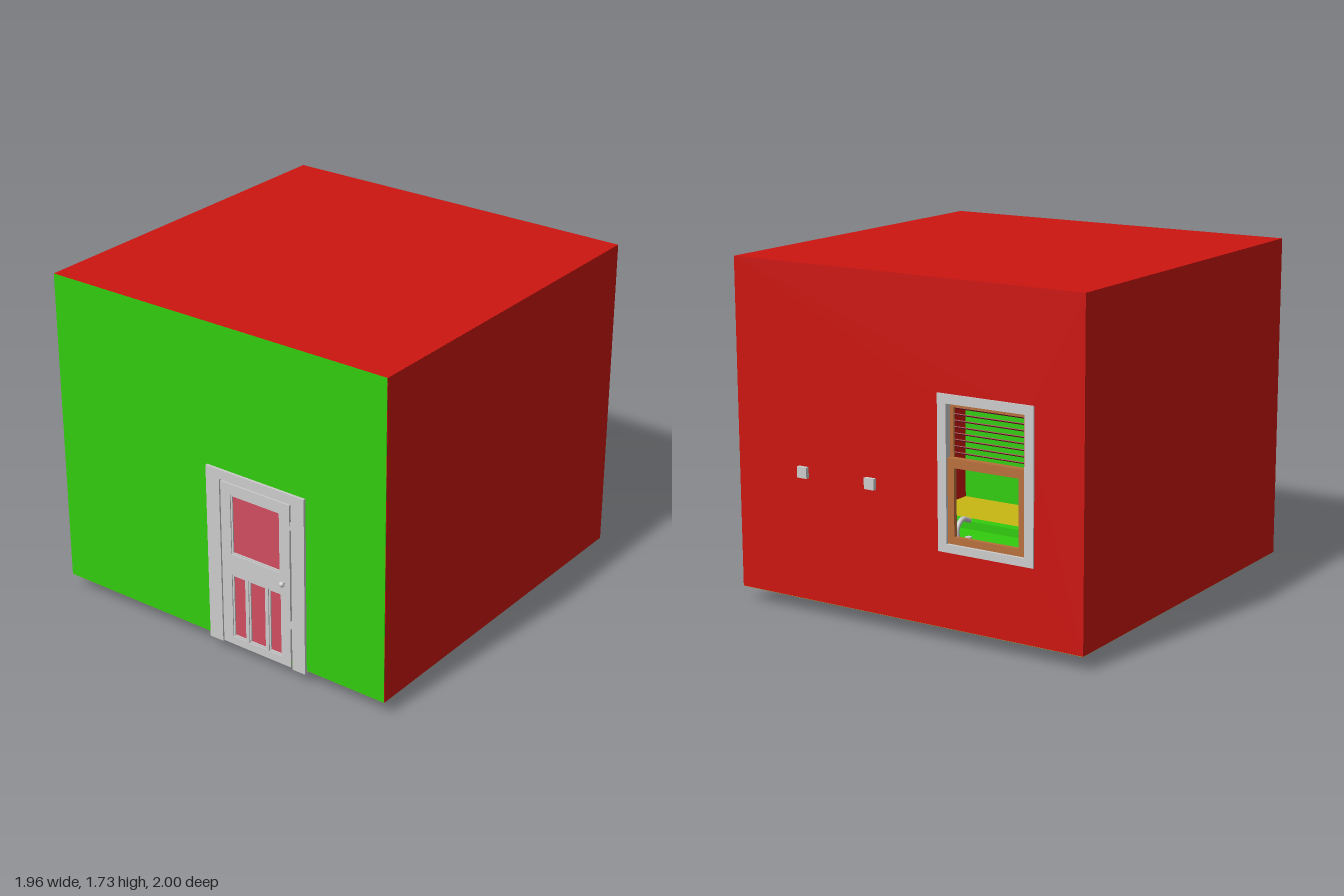
import * as THREE from 'three';
import { RoundedBoxGeometry } from 'three/addons/geometries/RoundedBoxGeometry.js';

const mat = (color) => new THREE.MeshStandardMaterial({ color });
const GREY = mat(0xcccccc), RED = mat(0xcc1510), GREEN = mat(0x32cc0e), YELLOW = mat(0xc8b812);
const PINK = mat(0xd04d60), WOOD = mat(0xb8703c), MAROON = mat(0x9a2030);

export function createModel() {
  const room = new THREE.Group();
  room.name = 'room';

  const add = (name, geo, material, parent = room) => {
    const m = new THREE.Mesh(geo, material);
    m.name = name;
    parent.add(m);
    return m;
  };
  // box given by its minimum and maximum on each axis
  const box = (name, [x0, x1], [y0, y1], [z0, z1], material, parent) => {
    const m = add(name, new THREE.BoxGeometry(x1 - x0, y1 - y0, z1 - z0), material, parent);
    m.position.set((x0 + x1) / 2, (y0 + y1) / 2, (z0 + z1) / 2);
    return m;
  };
  const rect = (P, x0, x1, y0, y1) => {
    const p = new P();
    p.moveTo(x0, y0).lineTo(x1, y0).lineTo(x1, y1).lineTo(x0, y1).closePath();
    return p;
  };
  // upright panel with rectangular holes, from z0 to z1
  const panel = (name, outer, holes, z0, z1, material, parent) => {
    const s = rect(THREE.Shape, ...outer);
    holes.forEach((h) => s.holes.push(rect(THREE.Path, ...h)));
    const m = add(name, new THREE.ExtrudeGeometry(s, { depth: z1 - z0, bevelEnabled: false }), material, parent);
    m.position.z = z0;
    return m;
  };
  const group = (name) => {
    const g = new THREE.Group();
    g.name = name;
    room.add(g);
    return g;
  };

  // shell
  const H = [0.08, 1.73];
  panel('frontWall', [-0.978, 0.978, ...H], [[0.03, 0.455, 0.1, 0.95]], 0.956, 0.96, GREEN);
  panel('backWall', [-0.98, 0.98, ...H], [[-0.675, -0.245, 0.49, 1.155]], -0.98, -0.955, RED);
  for (const s of [-1, 1]) {
    box('sideWall', s > 0 ? [0.955, 0.98] : [-0.98, -0.955], H, [-0.98, 0.958], RED);
  }
  box('ceiling', [-0.979, 0.979], [1.705, 1.7305], [-0.979, 0.9585], RED);
  box('floor', [-0.979, 0.979], [0.0785, 0.1], [-0.979, 0.9585], YELLOW);

  // door
  const door = group('door');
  for (const [a, b] of [[-0.05, 0.03], [0.455, 0.53]]) box('doorJamb', [a, b], [0.065, 1.0], [0.94, 0.974], GREY, door);
  box('doorHead', [0.03, 0.455], [0.95, 1.0], [0.94, 0.974], GREY, door);
  const panes = [[0.09, 0.385, 0.565, 0.885], [0.09, 0.175, 0.11, 0.455], [0.19, 0.295, 0.11, 0.455], [0.31, 0.39, 0.11, 0.455]];
  panel('doorLeaf', [0.032, 0.441, 0.068, 0.94], panes, 0.942, 0.968, GREY, door);
  for (const [a, b, c, d] of panes) {
    box('doorPane', [a, b], [c, d], [0.95, 0.957], PINK, door);
    panel('paneBead', [a, b, c, d], [[a + 0.009, b - 0.009, c + 0.009, d - 0.009]], 0.95, 0.963, GREY, door);
  }
  for (const y of [0.3, 0.83]) box('hinge', [0.438, 0.458], [y - 0.02, y + 0.02], [0.948, 0.966], GREY, door);
  const stem = add('knobStem', new THREE.CylinderGeometry(0.006, 0.008, 0.02, 12), GREY, door);
  stem.rotation.x = Math.PI / 2;
  stem.position.set(0.405, 0.52, 0.974);
  add('doorKnob', new THREE.SphereGeometry(0.014, 16, 12), GREY, door).position.set(0.405, 0.52, 0.985);

  // window with a sliding sash below and a blind above
  const win = group('window');
  panel('windowCasing', [-0.72, -0.2, 0.45, 1.2], [[-0.672, -0.248, 0.49, 1.155]], -0.988, -0.95, GREY, win);
  panel('lowerSash', [-0.67, -0.25, 0.492, 0.9], [[-0.635, -0.285, 0.527, 0.855]], -0.978, -0.957, WOOD, win);
  panel('upperSash', [-0.67, -0.25, 0.86, 1.153], [[-0.65, -0.27, 0.9, 1.135]], -0.956, -0.945, WOOD, win);
  for (let i = 0; i < 8; i++) {
    const slat = box('blindSlat', [-0.655, -0.265], [0.917 + i * 0.03, 0.921 + i * 0.03], [-0.952, -0.926], MAROON, win);
    slat.rotation.x = 0.45;
  }

  // towel rail fixed through the back wall
  const rail = group('towelRail');
  for (const x of [0.185, 0.583]) box('railBlock', [x - 0.028, x + 0.028], [0.69, 0.745], [-1.0, -0.89], GREY, rail);
  const bar = add('railBar', new THREE.CylinderGeometry(0.012, 0.012, 0.4, 12), GREY, rail);
  bar.rotation.z = Math.PI / 2;
  bar.position.set(0.384, 0.717, -0.9);

  // basin on a pedestal under the window
  const sink = group('basin');
  const foot = add('basinFoot', new RoundedBoxGeometry(0.34, 0.12, 0.095, 3, 0.02), GREY, sink);
  foot.position.set(-0.25, 0.075, -0.737);
  box('basinColumn', [-0.37, -0.13], [0.1, 0.38], [-0.78, -0.695], GREY, sink);
  box('basinBowl', [-0.62, 0.12], [0.36, 0.44], [-0.95, -0.54], GREEN, sink);
  const rim = panel('basinRim', [-0.64, 0.14, 0.53, 0.95], [[-0.58, 0.08, 0.58, 0.86]], 0, 0.04, GREEN, sink);
  rim.rotation.x = -Math.PI / 2;
  rim.position.set(0, 0.44, 0);
  const spout = new THREE.CatmullRomCurve3([[0, 0, 0], [0, 0.07, 0], [0, 0.1, 0.04], [0, 0.08, 0.1]].map((p) => new THREE.Vector3(...p)));
  add('tap', new THREE.TubeGeometry(spout, 16, 0.012, 10), GREY, sink).position.set(-0.25, 0.48, -0.9);
  for (const x of [-0.31, -0.19]) {
    add('tapHandle', new THREE.CylinderGeometry(0.016, 0.016, 0.035, 12), GREY, sink).position.set(x, 0.497, -0.9);
  }

  // toilet: T-shaped foot going through the floor, bowl and tank above
  const toilet = group('toilet');
  const t = new THREE.Shape();
  [[-0.78, -0.44], [-0.7, -0.44], [-0.67, -0.38], [-0.56, -0.375], [-0.51, -0.35], [-0.51, -0.29], [-0.56, -0.255], [-0.67, -0.25], [-0.7, -0.21], [-0.78, -0.21]]
    .forEach(([x, y], i) => (i ? t.lineTo(x, y) : t.moveTo(x, y)));
  const base = add('toiletFoot', new THREE.ExtrudeGeometry(t, { depth: 0.23, bevelThickness: 0.012, bevelSize: 0.01, bevelSegments: 1 }), GREY, toilet);
  base.rotation.x = -Math.PI / 2;
  base.position.y = 0.017;
  const bowl = add('toiletBowl', new THREE.CylinderGeometry(0.15, 0.09, 0.16, 24), GREY, toilet);
  bowl.position.set(-0.6, 0.33, 0.325);
  bowl.scale.x = 1.25;
  box('toiletTank', [-0.94, -0.75], [0.34, 0.68], [0.16, 0.49], GREY, toilet);

  // small table whose feet show below the floor
  const table = group('table');
  for (const x of [0.685, 0.93]) for (const z of [-0.045, 0.405]) {
    box('tableLeg', [x - 0.012, x + 0.012], [0.067, 0.45], [z - 0.014, z + 0.014], MAROON, table);
  }
  box('tableTop', [0.665, 0.95], [0.45, 0.48], [-0.07, 0.43], MAROON, table);

  // stand on two runners turned towards the corner
  const stand = group('stand');
  for (const s of [-0.135, 0.135]) box('standRunner', [-0.11, 0.11], [-0.003, 0.04], [s - 0.025, s + 0.025], GREY, stand);
  box('standBody', [-0.11, 0.11], [0.04, 0.3], [-0.16, 0.16], GREY, stand);
  stand.position.set(0.555, 0.08, -0.39);
  stand.rotation.y = Math.PI / 4;

  // round-ended bin set into the floor
  const bin = add('bin', new THREE.CylinderGeometry(0.1, 0.085, 0.25, 24, 1, false), MAROON);
  bin.position.set(-0.68, 0.2, -0.06);
  bin.scale.z = 0.62;

  return room;
}
